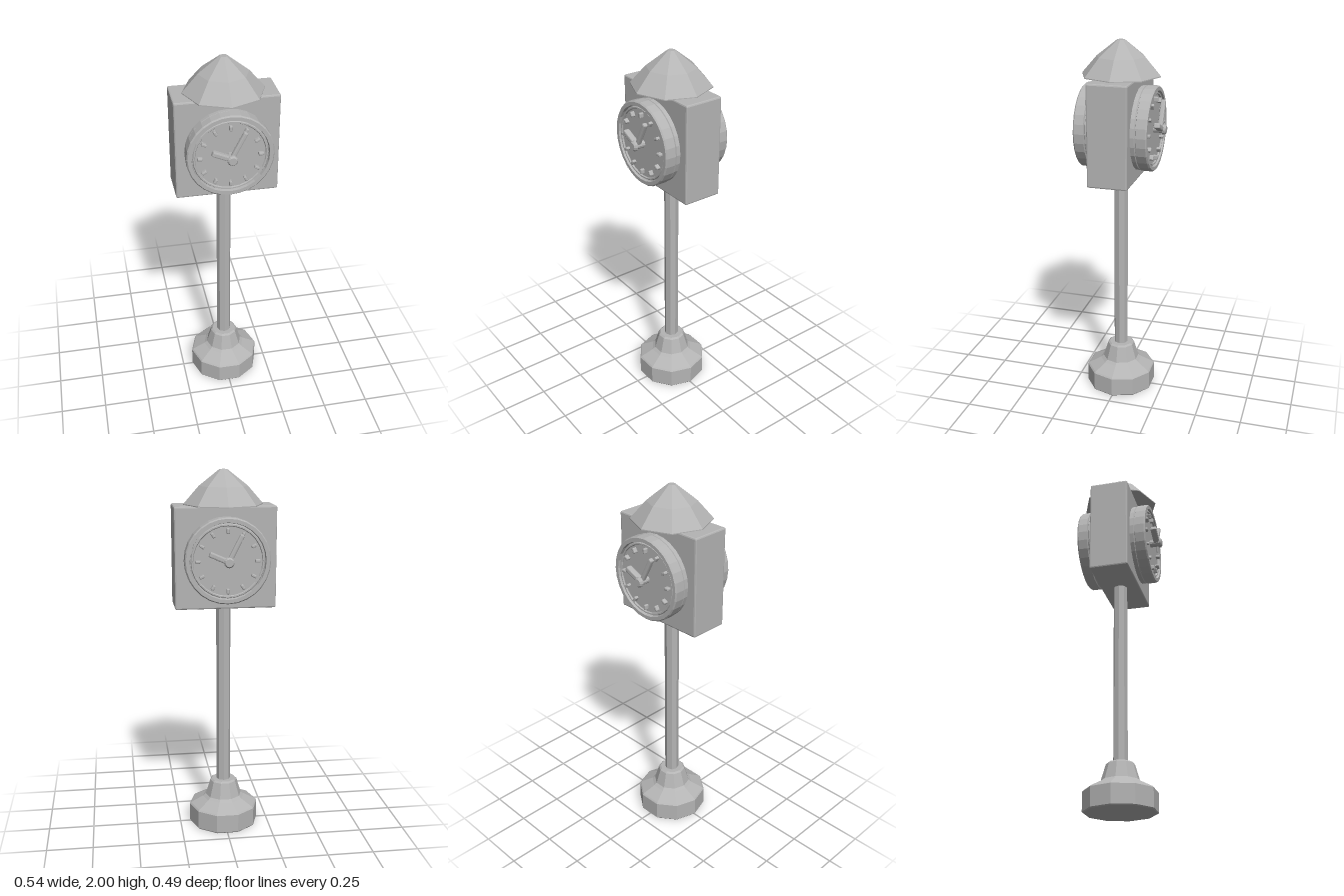
import * as THREE from 'three';
import { RoundedBoxGeometry } from 'three/addons/geometries/RoundedBoxGeometry.js';

const CLOCK_Y = 1.545;

export function createModel() {
  const model = new THREE.Group();
  model.name = 'streetClock';
  const stone = new THREE.MeshStandardMaterial({ color: 0xb4b4b4, flatShading: true });
  stone.name = 'grey';

  const add = (parent, name, geometry, x = 0, y = 0, z = 0) => {
    const mesh = new THREE.Mesh(geometry, stone);
    mesh.name = name;
    mesh.position.set(x, y, z);
    parent.add(mesh);
    return mesh;
  };
  const lathe = (points, sides, start = 0) =>
    new THREE.LatheGeometry(points.map(([r, y]) => new THREE.Vector2(r, y)), sides, start);

  // Ten-sided pedestal
  add(model, 'base', lathe([
    [0, 0], [0.19, 0], [0.195, 0.006], [0.195, 0.108], [0.188, 0.115], [0.118, 0.152],
    [0.102, 0.165], [0.076, 0.252], [0.066, 0.26], [0, 0.26],
  ], 10, Math.PI / 2));

  // Post and head
  add(model, 'pole', new THREE.CylinderGeometry(0.039, 0.039, 1.06, 8), 0, 0.77, 0);
  add(model, 'head', new RoundedBoxGeometry(0.54, 0.54, 0.215, 1, 0.008), 0, 1.548, 0);

  // Octagonal roof with two slopes
  add(model, 'roof', lathe([
    [0, 1.817], [0.212, 1.817], [0.212, 1.822], [0.13, 1.915], [0.021, 2], [0, 2],
  ], 8));

  // One clock, built facing +z
  const makeClock = (name) => {
    const clock = new THREE.Group();
    clock.name = name;
    clock.position.y = CLOCK_Y;

    // Drum with a shallow groove and recessed dial
    add(clock, 'drum', lathe([
      [0.222, 0.1], [0.222, 0.129], [0.217, 0.132], [0.217, 0.135], [0.225, 0.138],
      [0.225, 0.188], [0.219, 0.195], [0.2, 0.195], [0.197, 0.178], [0, 0.178],
    ], 28).rotateX(Math.PI / 2));
    add(clock, 'trimRing', new THREE.TorusGeometry(0.187, 0.007, 6, 28), 0, 0, 0.182);

    // Hour markers
    for (let i = 0; i < 12; i++) {
      const a = (i / 12) * Math.PI * 2;
      const marker = add(clock, 'hourMarker', new RoundedBoxGeometry(0.016, 0.028, 0.026, 1, 0.005),
        Math.sin(a) * 0.156, Math.cos(a) * 0.156, 0.186);
      marker.rotation.z = -a;
    }

    // Hands, each reaching from the hub to a tip
    const hand = (handName, tipX, tipY, width, depth, z) => {
      const length = Math.hypot(tipX, tipY) + 0.01;
      const mesh = add(clock, handName, new RoundedBoxGeometry(width, length, depth, 1, 0.007),
        tipX / 2, tipY / 2, z);
      mesh.rotation.z = -Math.atan2(tipX, tipY);
    };
    hand('minuteHand', 0.07, 0.135, 0.024, 0.026, 0.212);
    hand('hourHand', -0.095, 0.042, 0.028, 0.034, 0.217);

    // Hub
    add(clock, 'hub', lathe([
      [0.02, 0.178], [0.02, 0.222], [0.027, 0.227], [0.027, 0.238], [0.02, 0.246], [0, 0.246],
    ], 12).rotateX(Math.PI / 2));
    return clock;
  };

  const back = makeClock('backClock');
  back.rotation.y = Math.PI;
  model.add(makeClock('frontClock'), back);
  return model;
}
